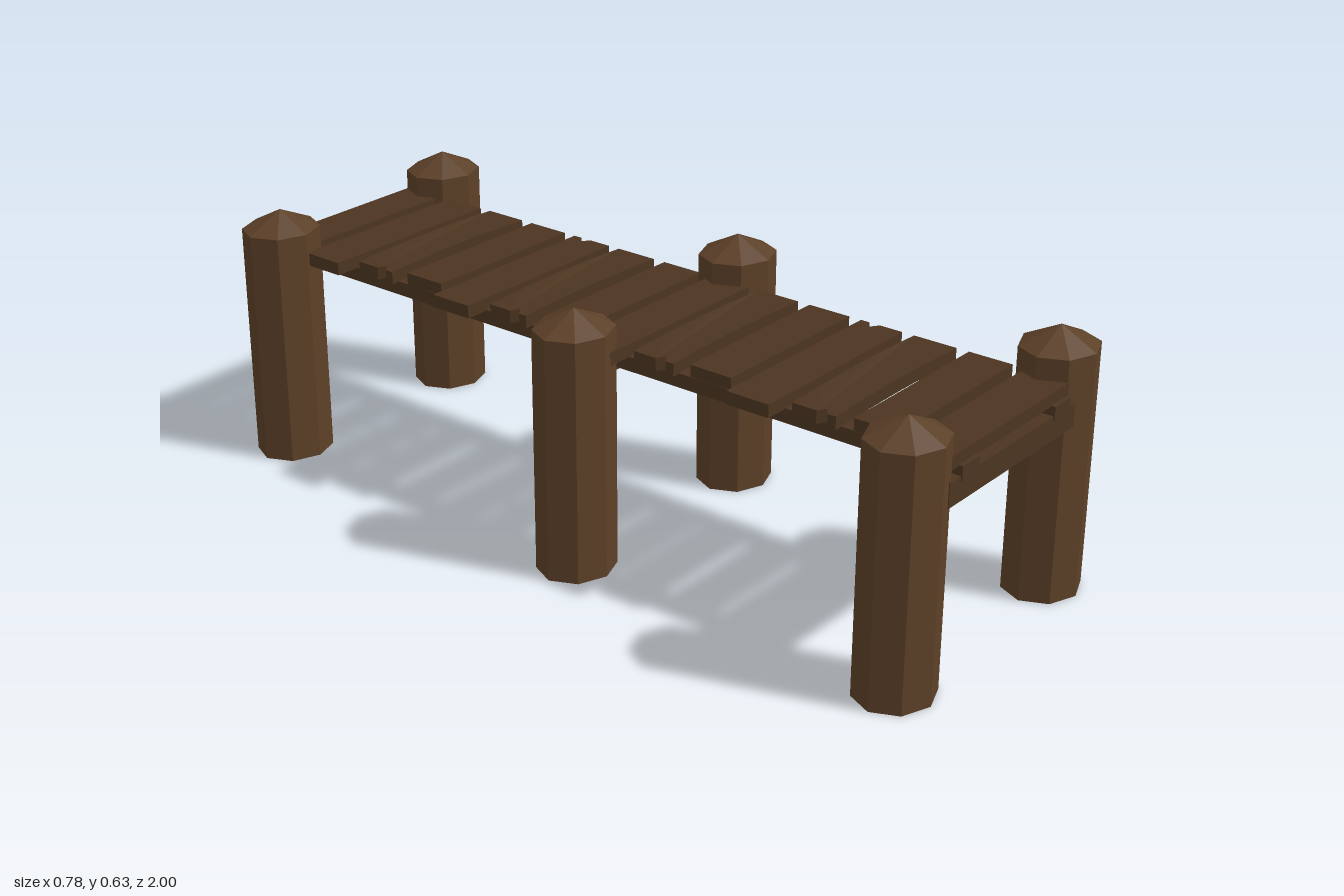
import * as THREE from 'three';

const postMat = new THREE.MeshStandardMaterial({ color: 0x5c4028, flatShading: true });
const plankMat = new THREE.MeshStandardMaterial({ color: 0x4c3521, flatShading: true });

function add(group, name, geometry, material, x = 0, y = 0, z = 0) {
  const mesh = new THREE.Mesh(geometry, material);
  mesh.name = name;
  mesh.position.set(x, y, z);
  group.add(mesh);
  return mesh;
}

// Plank outline in plan, with an optional V-shaped bite in one end and a bowed length
function plankGeometry({ left, right, bite, bow }) {
  const h = 0.055, steps = 8, pts = [];
  const along = (a, b, y) => {
    for (let i = 0; i <= steps; i++) pts.push(new THREE.Vector2(a + (b - a) * i / steps, y));
  };
  const notch = (x, dx, y, dy) => pts.push(
    new THREE.Vector2(x, y - dy), new THREE.Vector2(x + dx, y), new THREE.Vector2(x, y + dy));
  along(left, right, -h);
  if (bite === 'right') notch(right, -0.02, 0.018, 0.014);
  along(right, left, h);
  if (bite === 'left') notch(left, 0.02, -0.02, -0.014);

  const geo = new THREE.ExtrudeGeometry(new THREE.Shape(pts), { depth: 0.031, bevelEnabled: false });
  geo.rotateX(-Math.PI / 2);
  const p = geo.attributes.position;
  const mid = (left + right) / 2, half = (right - left) / 2;
  for (let i = 0; i < p.count; i++) {
    const t = (p.getX(i) - mid) / half;
    p.setY(i, p.getY(i) + bow * (1 - t * t));
  }
  geo.computeVertexNormals();
  return geo;
}

export function createModel() {
  const dock = new THREE.Group();
  dock.name = 'dock';

  // Eight-sided posts with pointed tops
  const postGeo = new THREE.LatheGeometry(
    [[0, 0], [1, 0], [1, 0.586], [0, 0.632]].map(([r, y]) => new THREE.Vector2(r, y)), 8);
  postGeo.scale(0.0975, 1, 0.089);
  const posts = [
    [-0.295, 0.911], [0.295, 0.911], [-0.295, 0.048],
    [0.295, 0.048], [-0.27, -0.911], [0.295, -0.911],
  ];
  posts.forEach(([x, z]) => add(dock, 'post', postGeo, postMat, x, 0, z));

  // Cross beams between each pair of posts
  const beamGeo = new THREE.BoxGeometry(0.5, 0.057, 0.06);
  for (const z of [0.953, 0.006, -0.953]) add(dock, 'crossBeam', beamGeo, plankMat, 0.005, 0.456, z);

  // Long rails under the deck
  const railGeo = new THREE.BoxGeometry(0.064, 0.034, 1.972);
  for (const x of [-0.172, 0.19]) add(dock, 'rail', railGeo, plankMat, x, 0.49, 0);

  // Deck planks: three kinds repeated along the length
  const kinds = [
    { left: -0.203, right: 0.237, bite: null, bow: 0 },
    { left: -0.262, right: 0.237, bite: 'right', bow: 0 },
    { left: -0.222, right: 0.237, bite: 'left', bow: 0.006 },
  ].map(plankGeometry);
  for (let i = 0; i < 14; i++) {
    add(dock, 'plank', kinds[i % 3], plankMat, 0, 0.504, -0.922 + i * 0.1417);
  }

  return dock;
}
